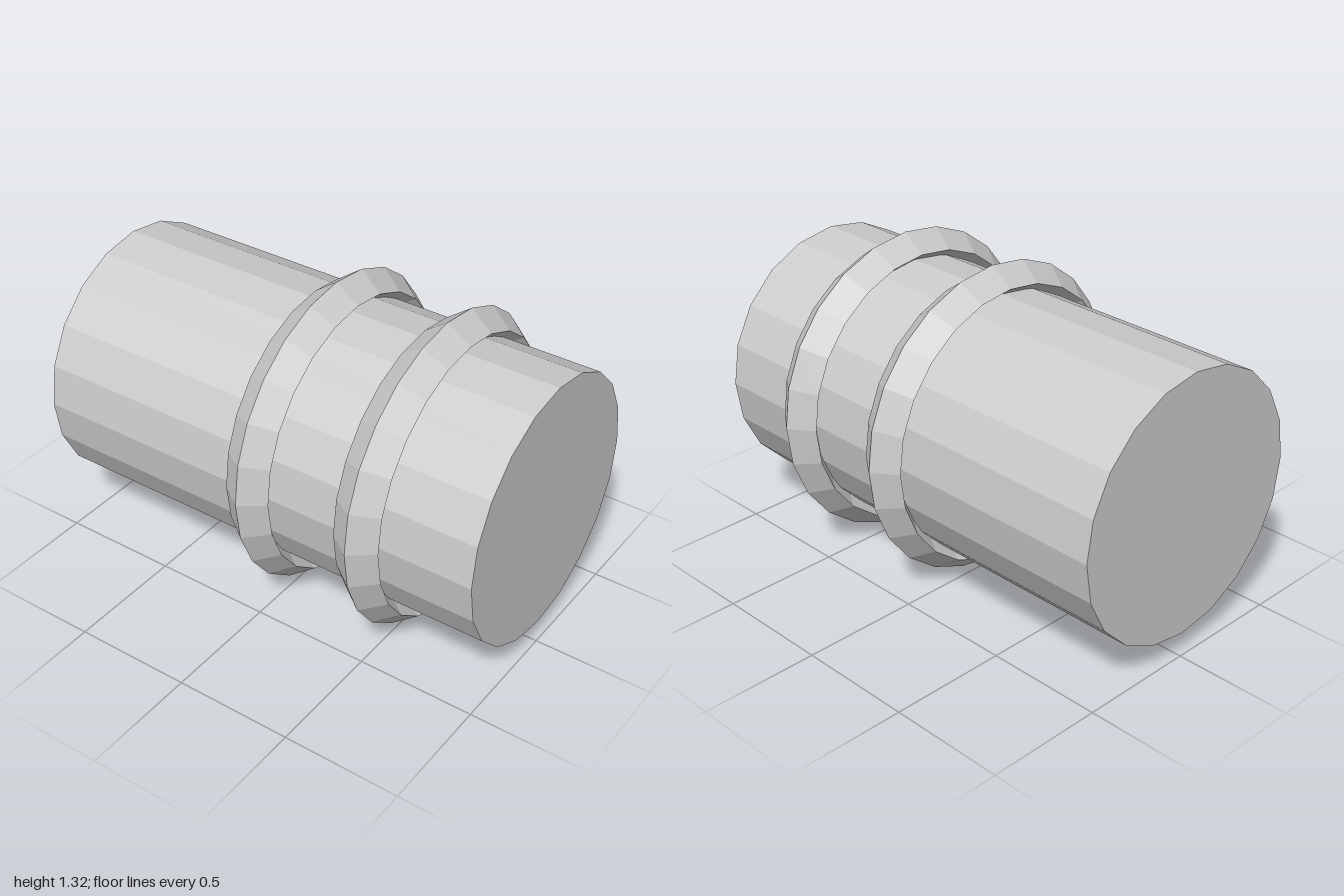
import * as THREE from 'three';

export function createModel() {
  const group = new THREE.Group();
  const grey = new THREE.MeshStandardMaterial({ color: 0xcccccc });
  grey.name = 'grey';
  grey.flatShading = true;

  const axisY = 0.663;

  // Closed 20-sided barrel lying along z
  const barrel = new THREE.CylinderGeometry(0.554, 0.554, 2, 20);
  barrel.rotateX(Math.PI / 2);
  const body = new THREE.Mesh(barrel, grey);
  body.name = 'barrel';
  body.position.y = axisY;
  group.add(body);

  // Two bands with a diamond section, 24-sided, stretched along the axis
  const band = new THREE.TorusGeometry(0.587, 0.072, 4, 24);
  band.scale(1, 1, 0.1 / 0.072);
  [['frontBand', 0.525], ['rearBand', 0.025]].forEach(([name, z]) => {
    const ring = new THREE.Mesh(band, grey);
    ring.name = name;
    ring.position.set(0, axisY, z);
    group.add(ring);
  });

  return group;
}
